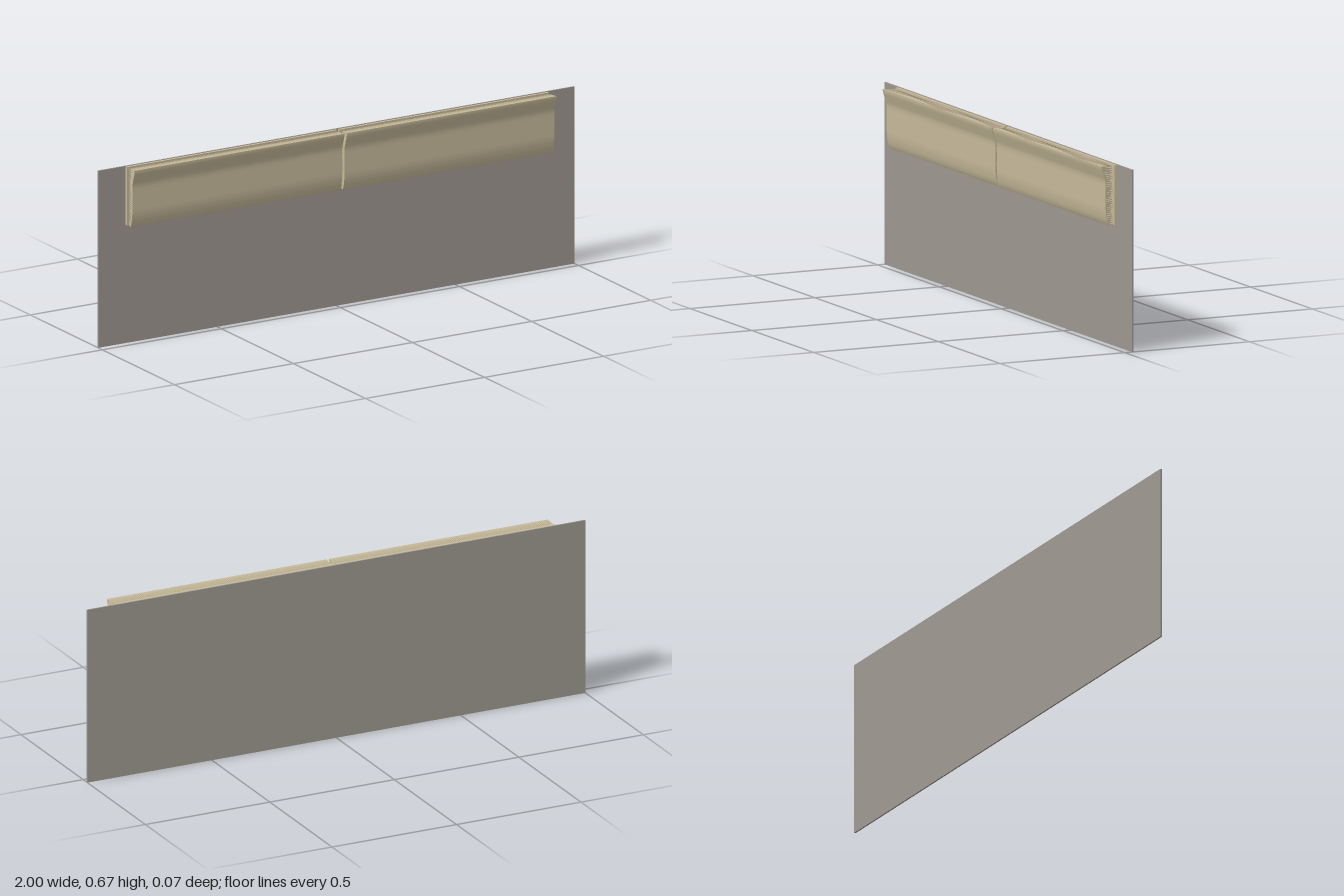
import * as THREE from 'three';

const ROWS = 29, COLS = 117;
const BOTTOM = 0.445, TOP = 0.664, TIP_Z = -0.012;

// Front surface depth by height: [y, z]
const PROFILE = [[0.445, 0.007], [0.455, 0.012], [0.47, 0.016], [0.49, 0.019], [0.505, 0.02],
  [0.595, 0.02], [0.61, 0.0215], [0.63, 0.028], [0.648, 0.034], [0.656, 0.036], [0.664, 0.036]];

function depthAt(y) {
  for (let i = 1; i < PROFILE.length; i++) {
    const [y0, z0] = PROFILE[i - 1], [y1, z1] = PROFILE[i];
    if (y <= y1) return z0 + (z1 - z0) * (y - y0) / (y1 - y0);
  }
  return PROFILE[PROFILE.length - 1][1];
}

// Smooth curved face running the length of a panel
function faceGeometry(x0, x1) {
  const geo = new THREE.PlaneGeometry(x1 - x0, TOP - BOTTOM, 1, ROWS);
  geo.translate((x0 + x1) / 2, (TOP + BOTTOM) / 2, 0);
  const p = geo.attributes.position;
  for (let i = 0; i < p.count; i++) p.setZ(i, depthAt(p.getY(i)));
  geo.computeVertexNormals();
  return geo;
}

// Grid of slim pyramids pointing back from the curved face
function spikeGeometry(x0, x1) {
  const pos = [];
  const dx = (x1 - x0) / COLS, dy = (TOP - BOTTOM) / ROWS;
  for (let r = 0; r < ROWS; r++) {
    const ya = BOTTOM + r * dy, yb = ya + dy;
    const za = depthAt(ya), zb = depthAt(yb);
    for (let c = 0; c < COLS; c++) {
      const xa = x0 + c * dx, xb = xa + dx;
      const base = [[xa, ya, za], [xb, ya, za], [xb, yb, zb], [xa, yb, zb]];
      const tip = [(xa + xb) / 2, (ya + yb) / 2, TIP_Z];
      for (let k = 0; k < 4; k++) pos.push(...base[(k + 1) % 4], ...base[k], ...tip);
    }
  }
  const geo = new THREE.BufferGeometry();
  geo.setAttribute('position', new THREE.Float32BufferAttribute(pos, 3));
  geo.computeVertexNormals();
  return geo;
}

export function createModel() {
  const model = new THREE.Group();
  model.name = 'wallWithPanels';
  const wallGrey = new THREE.MeshStandardMaterial({ color: 0x9f9991 });
  wallGrey.name = 'warm grey';
  const cream = new THREE.MeshStandardMaterial({ color: 0xc8bb9b });
  cream.name = 'cream';

  function add(parent, name, geo, mat) {
    const mesh = new THREE.Mesh(geo, mat);
    mesh.name = name;
    parent.add(mesh);
    return mesh;
  }

  // Thin back wall
  add(model, 'wall', new THREE.BoxGeometry(2, 0.665, 0.006), wallGrey).position.set(0, 0.3325, -0.031);

  // Two matching panels, each a backing board and a spiked curved face
  for (const [name, x0, x1] of [['rightPanel', -0.886, -0.005], ['leftPanel', 0.005, 0.886]]) {
    const panel = new THREE.Group();
    panel.name = name;
    add(panel, 'backingBoard', new THREE.BoxGeometry(x1 - x0, TOP - BOTTOM, 0.01), cream)
      .position.set((x0 + x1) / 2, (TOP + BOTTOM) / 2, -0.021);
    add(panel, 'curvedFace', faceGeometry(x0, x1), cream);
    add(panel, 'spikes', spikeGeometry(x0, x1), cream);
    model.add(panel);
  }
  return model;
}
